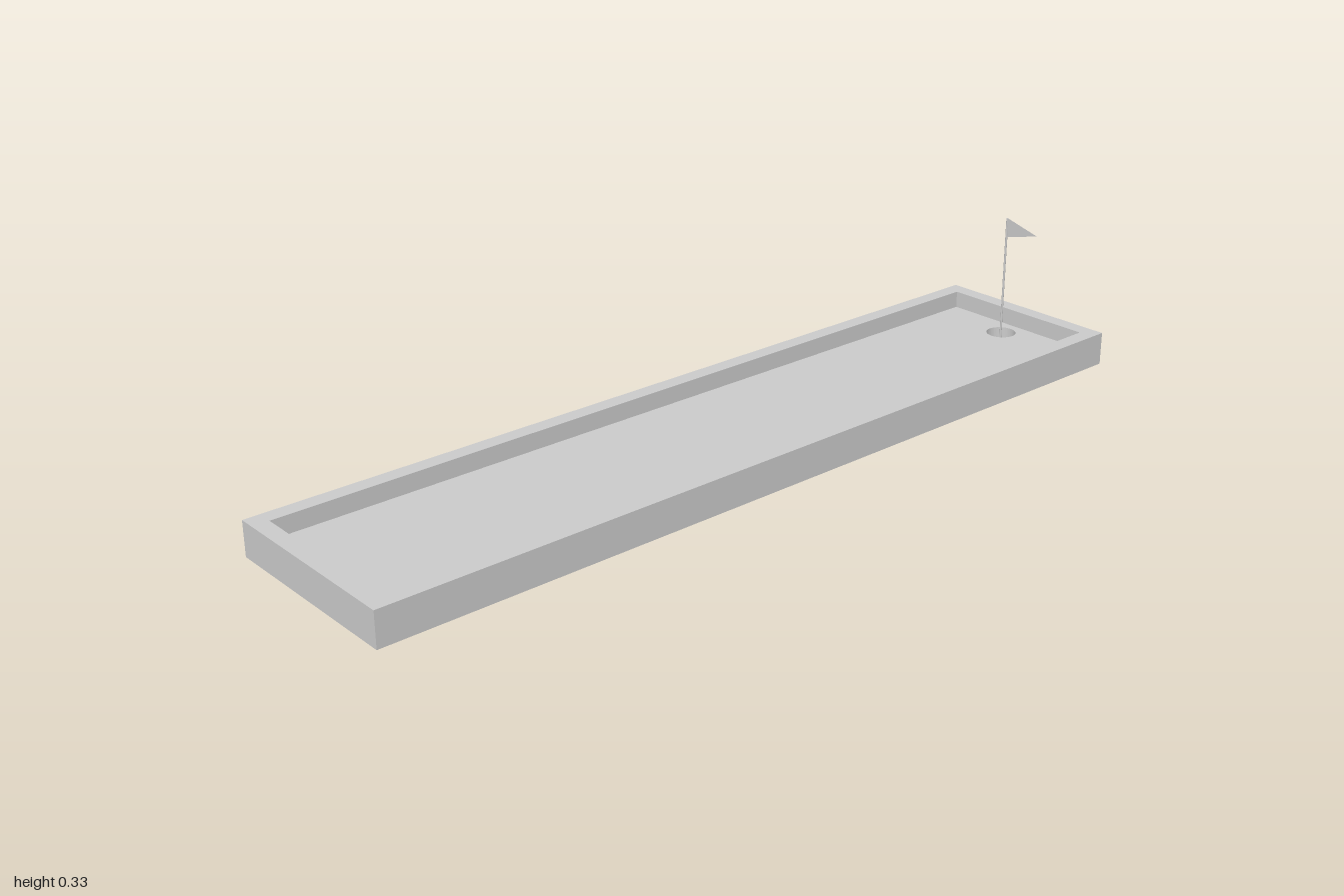
import * as THREE from 'three';

const WIDTH = 0.46, LENGTH = 2, HEIGHT = 0.078, FLOOR = 0.038, BORDER = 0.037;
const HOLE_Z = -0.908, HOLE_R = 0.035, POLE_TOP = 0.327;

const material = new THREE.MeshStandardMaterial({ color: 0xcccccc });
const thinMaterial = new THREE.MeshStandardMaterial({ color: 0xcccccc, side: THREE.DoubleSide });

// Centred rectangle outline, usable as a Shape or a hole Path
function rectangle(Type, w, l) {
  const x = w / 2, y = l / 2;
  return new Type([[-x, -y], [x, -y], [x, y], [-x, y]].map(([a, b]) => new THREE.Vector2(a, b)));
}

// Extrude a plan shape upward from y0 to y1 (shape y becomes -z)
function plate(name, shape, y0, y1) {
  const geometry = new THREE.ExtrudeGeometry(shape, { depth: y1 - y0, bevelEnabled: false, curveSegments: 24 });
  geometry.rotateX(-Math.PI / 2).translate(0, y0, 0);
  const mesh = new THREE.Mesh(geometry, material);
  mesh.name = name;
  return mesh;
}

export function createModel() {
  const group = new THREE.Group();
  group.name = 'miniGolfLane';

  // Playing surface with the cup cut right through
  const floor = rectangle(THREE.Shape, WIDTH, LENGTH);
  floor.holes.push(new THREE.Path().absarc(0, -HOLE_Z, HOLE_R, 0, Math.PI * 2, true));
  group.add(plate('floor', floor, 0, FLOOR));

  // Raised border around the lane
  const border = rectangle(THREE.Shape, WIDTH, LENGTH);
  border.holes.push(rectangle(THREE.Path, WIDTH - 2 * BORDER, LENGTH - 2 * BORDER));
  group.add(plate('border', border, FLOOR, HEIGHT));

  // Flag pole standing in the cup
  const pole = new THREE.Mesh(new THREE.CylinderGeometry(0.0025, 0.0025, POLE_TOP, 8), material);
  pole.name = 'flagPole';
  pole.position.set(-0.001, POLE_TOP / 2, HOLE_Z);
  group.add(pole);

  // Triangular pennant
  const pennant = new THREE.Shape([
    new THREE.Vector2(0, 0.28), new THREE.Vector2(0.09, 0.303), new THREE.Vector2(0, POLE_TOP),
  ]);
  const flag = new THREE.Mesh(new THREE.ShapeGeometry(pennant), thinMaterial);
  flag.name = 'flag';
  flag.position.z = HOLE_Z;
  group.add(flag);

  return group;
}
